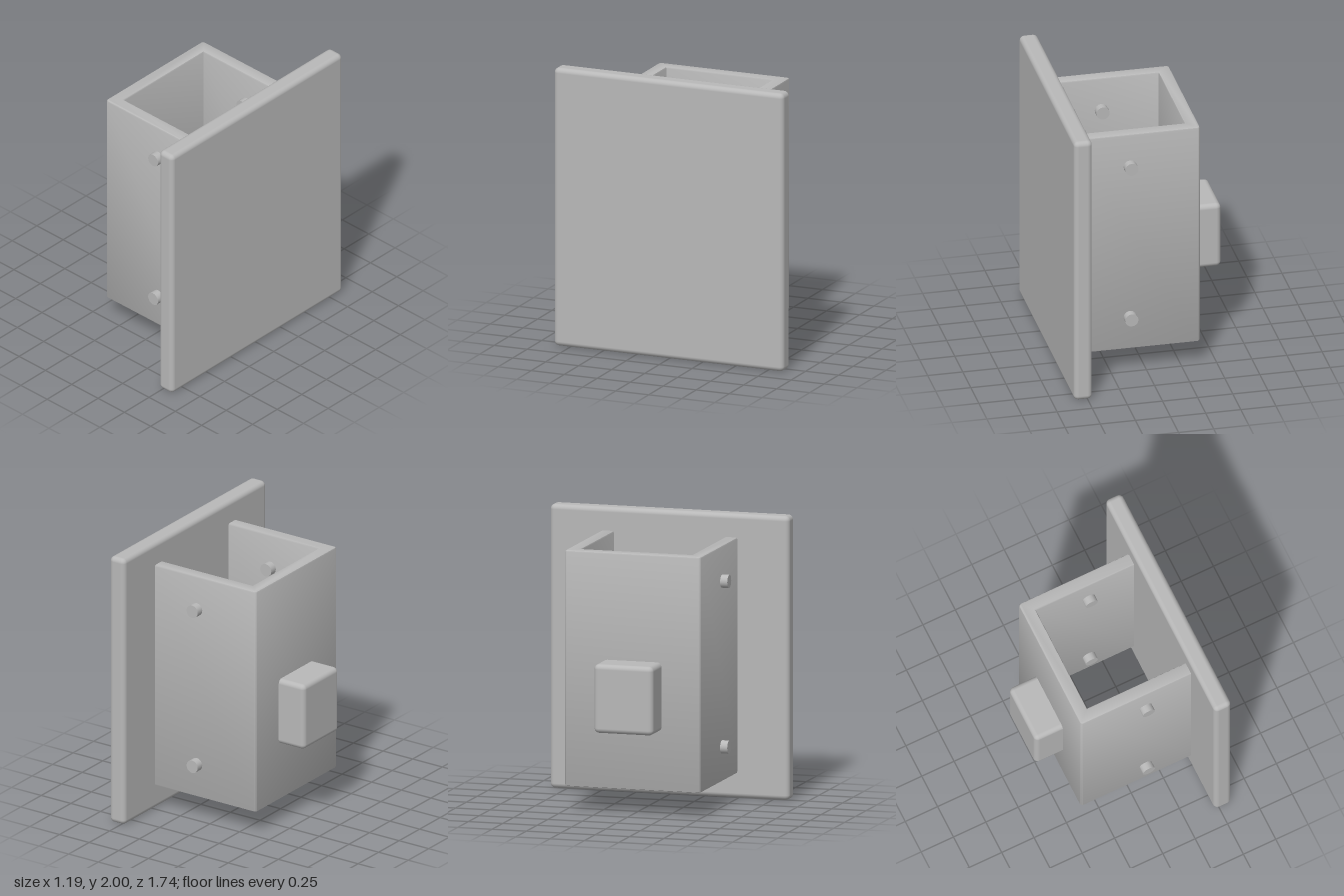
import * as THREE from 'three';
import { RoundedBoxGeometry } from 'three/addons/geometries/RoundedBoxGeometry.js';
import { toCreasedNormals } from 'three/addons/utils/BufferGeometryUtils.js';

export function createModel() {
  const model = new THREE.Group();
  const grey = new THREE.MeshStandardMaterial({ color: 0xb8b8b8 });
  grey.name = 'plain grey';

  function add(name, geometry, x, y, z) {
    const mesh = new THREE.Mesh(geometry, grey);
    mesh.name = name;
    mesh.position.set(x, y, z);
    model.add(mesh);
  }

  // Large upright plate with softened edges
  add('facePlate', new RoundedBoxGeometry(0.13, 2, 1.74, 3, 0.035), 0.532, 1, 0);

  // Three-walled channel, open at top and bottom, closed by the plate
  const back = -0.385, front = 0.5, half = 0.495, wall = 0.092, r = 0.022, bevel = 0.012, height = 1.66;
  const outline = new THREE.Shape();
  outline.moveTo(front, -half);
  outline.lineTo(front, -half + wall);
  outline.lineTo(back + wall, -half + wall);
  outline.lineTo(back + wall, half - wall);
  outline.lineTo(front, half - wall);
  outline.lineTo(front, half);
  outline.lineTo(back + r, half);
  outline.absarc(back + r, half - r, r, Math.PI / 2, Math.PI, false);
  outline.lineTo(back, -half + r);
  outline.absarc(back + r, -half + r, r, Math.PI, Math.PI * 1.5, false);
  outline.closePath();
  const channel = new THREE.ExtrudeGeometry(outline, {
    depth: height - 2 * bevel, curveSegments: 3,
    bevelThickness: bevel, bevelSize: bevel, bevelOffset: -bevel, bevelSegments: 2,
  });
  channel.rotateX(-Math.PI / 2);
  add('channel', toCreasedNormals(channel, 0.6), 0, 0.175 + bevel, 0);

  // Block passing through the back wall
  add('latchBlock', new RoundedBoxGeometry(0.36, 0.485, 0.43, 3, 0.035), -0.418, 0.838, -0.003);

  // Pins through both side walls
  for (const [side, z] of [['left', 0.447], ['right', -0.451]]) {
    for (const [level, y] of [['lower', 0.42], ['upper', 1.587]]) {
      const pin = new THREE.CylinderGeometry(0.047, 0.047, 0.2, 16);
      pin.rotateX(Math.PI / 2);
      add(`${level} ${side} pin`, pin, 0.115, y, z);
    }
  }
  return model;
}
